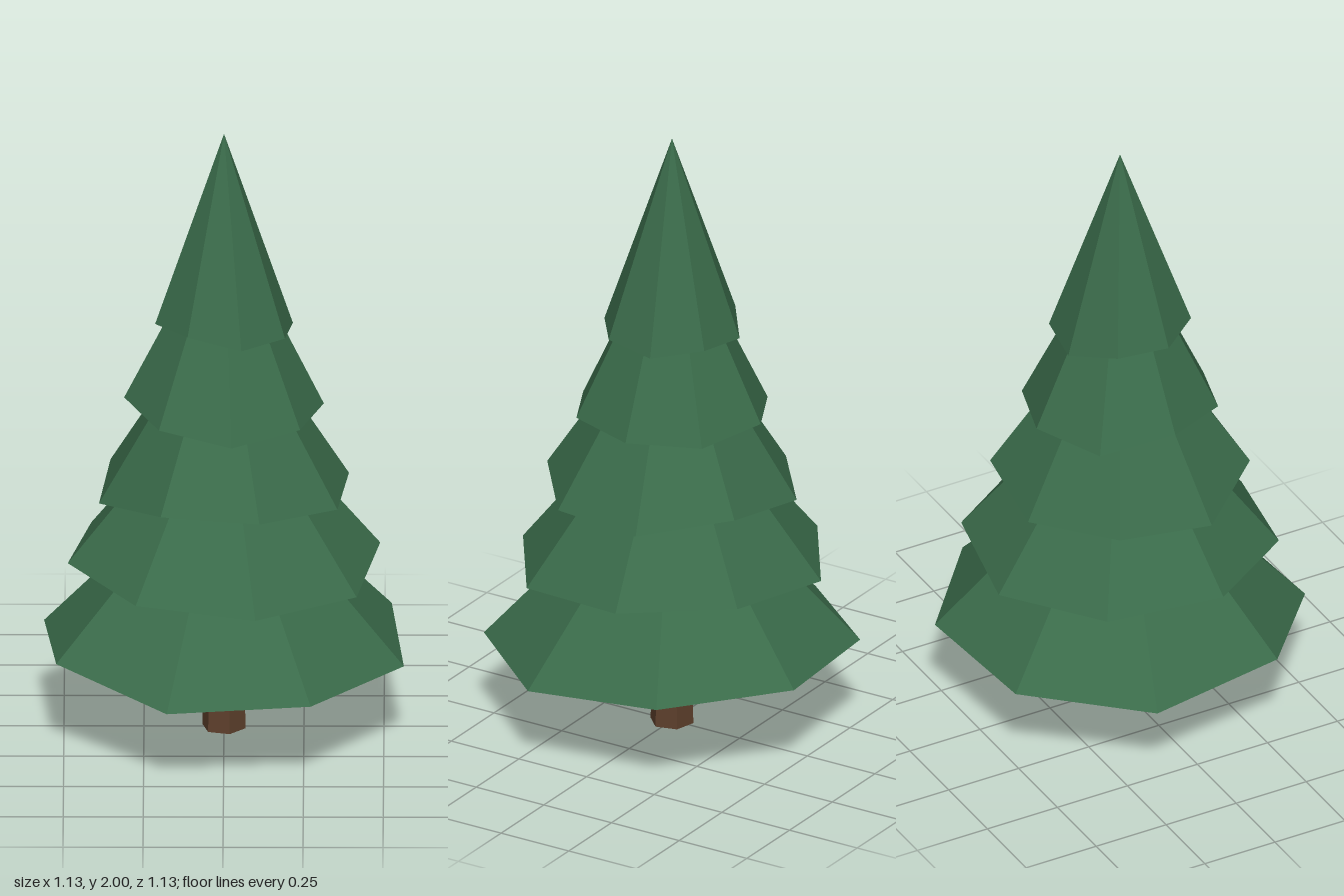
import * as THREE from 'three';

const SIDES = 8;
const deg = THREE.MathUtils.degToRad;

// Foliage tiers, bottom to top: rim radius, angle of first rim corner from +x
// towards +z, tip height, and the uneven height of each rim corner.
const TIERS = [
  { radius: 0.59, phase: 17.5, tip: 0.92, rim: [0.275, 0.28, 0.27, 0.32, 0.285, 0.30, 0.31, 0.305] },
  { radius: 0.498, phase: -11.5, tip: 1.19, rim: [0.58, 0.548, 0.555, 0.575, 0.59, 0.575, 0.56, 0.59] },
  { radius: 0.406, phase: -16, tip: 1.46, rim: [0.81, 0.812, 0.84, 0.85, 0.797, 0.82, 0.81, 0.85] },
  { radius: 0.313, phase: -4.6, tip: 1.73, rim: [1.08, 1.083, 1.065, 1.095, 1.12, 1.07, 1.085, 1.07] },
  { radius: 0.222, phase: -14.3, tip: 2.0, rim: [1.34, 1.355, 1.353, 1.39, 1.38, 1.38, 1.345, 1.36] },
];

// Split all faces so that each one has its own flat normal
function faceted(geometry) {
  const flat = geometry.toNonIndexed();
  flat.computeVertexNormals();
  return flat;
}

// A closed cone whose rim corners are shifted up or down
function tierGeometry({ radius, phase, tip, rim }) {
  const base = rim.reduce((sum, y) => sum + y, 0) / SIDES;
  const geometry = new THREE.ConeGeometry(radius, tip - base, SIDES, 1);
  geometry.rotateY(-deg(phase));
  geometry.translate(0, (tip + base) / 2, 0);
  const pos = geometry.attributes.position;
  for (let i = 0; i < pos.count; i++) {
    const x = pos.getX(i), z = pos.getZ(i);
    if (Math.hypot(x, z) < 0.01) continue; // tip and base centre stay put
    const corner = Math.round((Math.atan2(z, x) - deg(phase)) / (2 * Math.PI / SIDES));
    pos.setY(i, rim[(corner + SIDES) % SIDES]);
  }
  return faceted(geometry);
}

export function createModel() {
  const tree = new THREE.Group();
  tree.name = 'pineTree';

  const needles = new THREE.MeshStandardMaterial({ color: 0x3a6b4a });
  needles.name = 'needleGreen';
  const bark = new THREE.MeshStandardMaterial({ color: 0x5e402c });
  bark.name = 'barkBrown';

  // Tapered six-sided trunk, its top hidden inside the lowest tier
  const trunkGeometry = new THREE.CylinderGeometry(0.06, 0.07, 0.42, 6);
  trunkGeometry.rotateY(deg(75));
  trunkGeometry.translate(0, 0.21, 0);
  const trunk = new THREE.Mesh(faceted(trunkGeometry), bark);
  trunk.name = 'trunk';
  tree.add(trunk);

  // Stacked, overlapping foliage
  const foliage = new THREE.Group();
  foliage.name = 'foliage';
  TIERS.forEach((tier, i) => {
    const mesh = new THREE.Mesh(tierGeometry(tier), needles);
    mesh.name = `foliageTier${i + 1}`;
    foliage.add(mesh);
  });
  tree.add(foliage);

  return tree;
}
